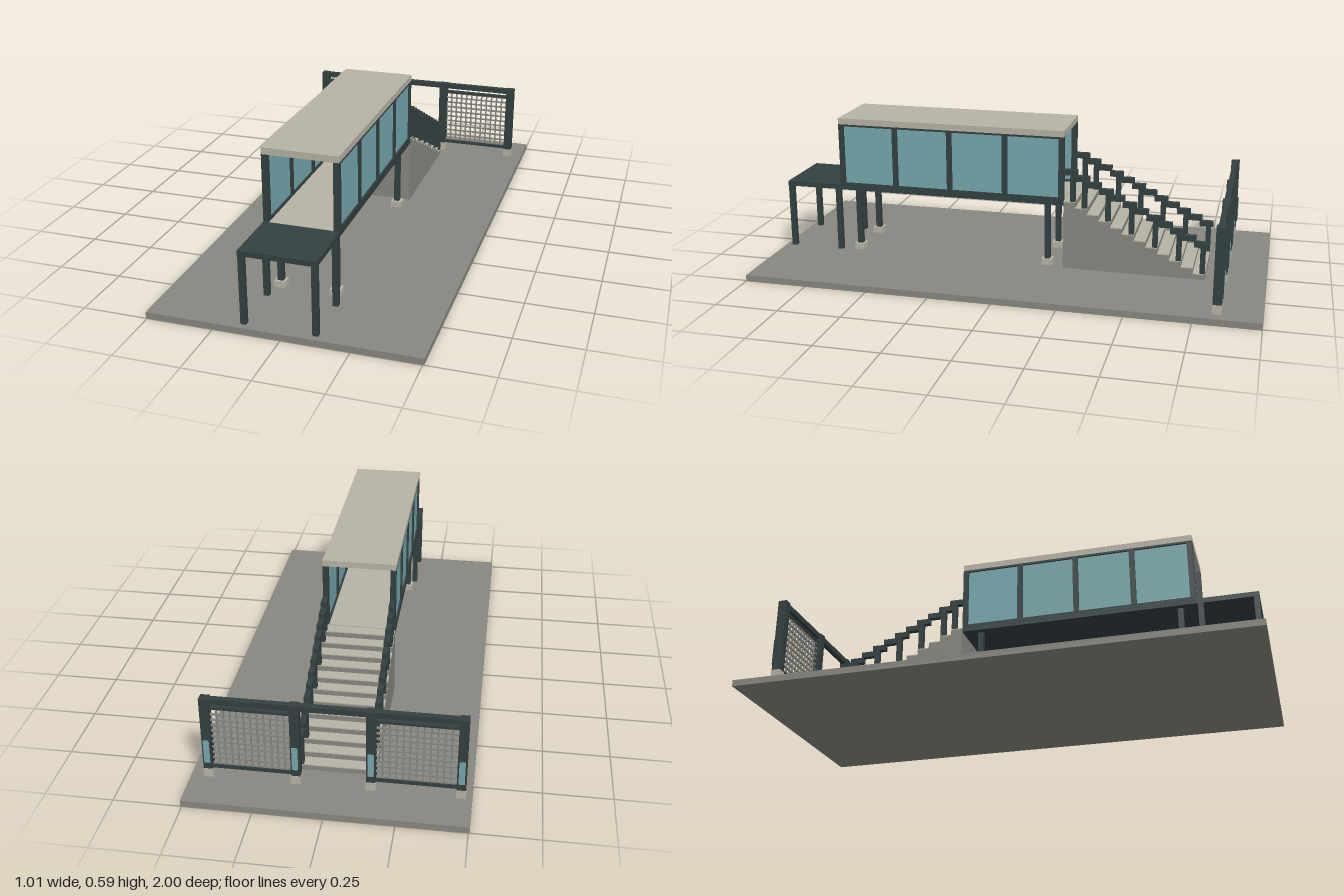
import * as THREE from 'three';

const mat = (name, color) => {
  const m = new THREE.MeshStandardMaterial({ color });
  m.name = name;
  return m;
};

export function createModel() {
  const concrete = mat('concrete grey', 0x888780);
  const pale = mat('pale stone', 0xb8b3a6);
  const dark = mat('dark steel', 0x334041);
  const glass = mat('teal glass', 0x76a8ad);

  const model = new THREE.Group();
  model.name = 'footbridge';
  const section = (name) => {
    const g = new THREE.Group();
    g.name = name;
    model.add(g);
    return g;
  };
  // box given by its limits on each axis
  const box = (parent, name, m, x0, x1, y0, y1, z0, z1) => {
    const mesh = new THREE.Mesh(new THREE.BoxGeometry(x1 - x0, y1 - y0, z1 - z0), m);
    mesh.position.set((x0 + x1) / 2, (y0 + y1) / 2, (z0 + z1) / 2);
    mesh.name = name;
    parent.add(mesh);
  };
  // square upright standing at x, z
  const post = (parent, name, m, x, z, w, y0, y1) =>
    box(parent, name, m, x - w / 2, x + w / 2, y0, y1, z - w / 2, z + w / 2);

  const ground = 0.025;
  const cx = -0.0125;                 // centre line of bridge and fence
  const left = cx - 0.1425, right = cx + 0.1425;
  const sides = [-1, 1];

  box(model, 'groundSlab', concrete, -0.505, 0.505, 0, ground, -1, 1);

  // Covered walkway
  const cabin = section('coveredWalkway');
  box(cabin, 'deck', dark, left, right, 0.288, 0.305, -0.2, 0.74);
  box(cabin, 'deckFloor', pale, left + 0.01, right - 0.01, 0.305, 0.309, -0.2, 0.74);
  box(cabin, 'roof', pale, left, right, 0.565, 0.59, -0.2, 0.74);
  const bays = [0.729, 0.4995, 0.27, 0.0405, -0.189];
  for (const s of sides) {
    const x = cx + s * 0.1315;
    box(cabin, 'sill', dark, x - 0.011, x + 0.011, 0.3, 0.318, -0.2, 0.74);
    box(cabin, 'header', dark, x - 0.011, x + 0.011, 0.557, 0.565, -0.2, 0.74);
    bays.forEach((z, i) => {
      post(cabin, 'windowPost', dark, x, z, 0.022, 0.3, 0.565);
      if (i) box(cabin, 'windowPane', glass, x - 0.004, x + 0.004, 0.318, 0.557, z + 0.011, bays[i - 1] - 0.011);
    });
    // supports on footings
    for (const z of [0.675, -0.13]) {
      post(cabin, 'supportPost', dark, cx + s * 0.107, z, 0.022, ground, 0.29);
      post(cabin, 'supportFooting', pale, cx + s * 0.107, z, 0.042, ground, 0.05);
    }
  }

  // Open front platform on four legs
  const platform = section('frontPlatform');
  box(platform, 'platformTop', dark, left, right, 0.288, 0.308, 0.74, 0.976);
  for (const s of sides) {
    for (const z of [0.965, 0.755]) post(platform, 'platformLeg', dark, cx + s * 0.1315, z, 0.021, ground, 0.29);
  }

  // Staircase with a stepped handrail on both sides
  const stairs = section('staircase');
  const steps = 12, run = 0.565 / steps, rise = 0.28 / steps;
  for (let i = 0; i < steps; i++) {
    const z1 = -0.2 - i * run, z0 = z1 - run;
    const top = 0.305 - i * rise;
    box(stairs, 'stepBlock', concrete, left, right, ground, top - 0.004, z0, z1);
    box(stairs, 'tread', pale, left, right, top - 0.004, top, z0, z1);
    for (const s of sides) {
      const x = cx + s * 0.1315;
      box(stairs, 'handrail', dark, x - 0.011, x + 0.011, top + 0.108, top + 0.13, z0 - 0.008, z1);
      if (i === 0 || i % 2) post(stairs, 'railPost', dark, x, z0 + 0.011, 0.02, top, top + 0.115);
    }
  }

  // Lattice fence with an open gateway
  const fence = section('latticeFence');
  const fz = -0.835;
  box(fence, 'topBeam', dark, cx - 0.46, cx + 0.46, 0.333, 0.355, fz - 0.011, fz + 0.011);
  for (const s of sides) {
    for (const d of [0.4525, 0.1345]) {
      const x = cx + s * d;
      post(fence, 'fencePost', dark, x, fz, 0.034, 0.06, 0.355);
      post(fence, 'fenceFooting', pale, x, fz, 0.036, ground, 0.06);
      // lamp on the rear of each post
      box(fence, 'lampHousing', dark, x - 0.014, x + 0.014, 0.085, 0.19, fz - 0.021, fz - 0.016);
      box(fence, 'lampPanel', glass, x - 0.011, x + 0.011, 0.09, 0.185, fz - 0.023, fz - 0.02);
    }
    const x0 = cx + s * 0.2935 - 0.143, x1 = x0 + 0.286;
    box(fence, 'bottomRail', dark, x0, x1, 0.06, 0.074, fz - 0.009, fz + 0.009);
    box(fence, 'upperRail', dark, x0, x1, 0.31, 0.32, fz - 0.009, fz + 0.009);
    // lattice bars
    for (let i = 1; i < 12; i++) {
      const x = x0 + i * (x1 - x0) / 12;
      box(fence, 'latticeUpright', concrete, x - 0.003, x + 0.003, 0.074, 0.31, fz - 0.003, fz + 0.003);
    }
    for (let j = 0; j <= 10; j++) {
      const y = 0.077 + j * 0.0232;
      box(fence, 'latticeCrossbar', concrete, x0, x1, y - 0.003, y + 0.003, fz - 0.004, fz + 0.004);
    }
  }
  return model;
}
